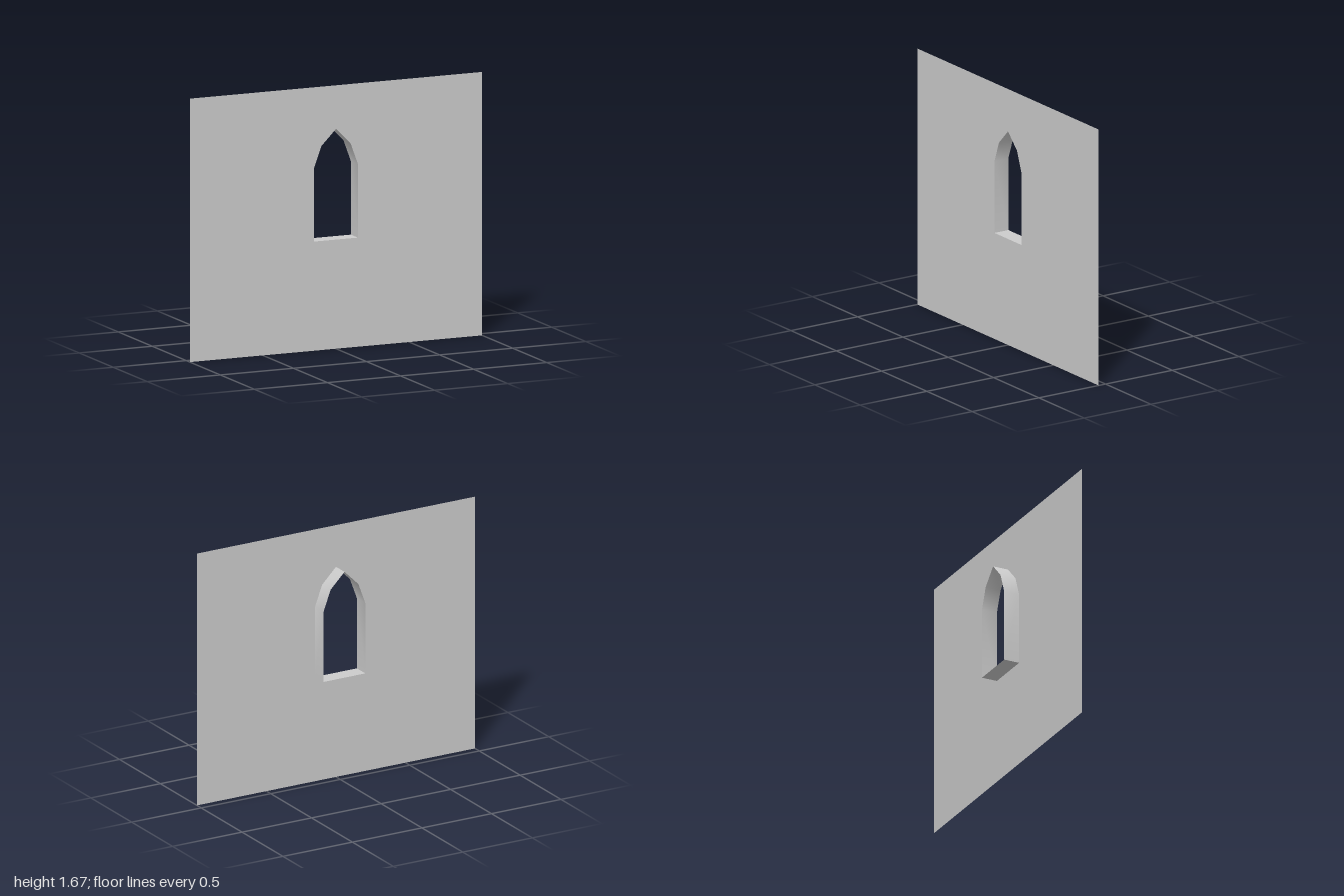
import * as THREE from 'three';
import { toCreasedNormals } from 'three/addons/utils/BufferGeometryUtils.js';

const HALF_DEPTH = 0.052;
const WALL_HEIGHT = 1.666;

// Pointed window outline, anticlockwise from the lower left corner
const outline = [
  [-0.15, 0.69], [0.15, 0.69], [0.15, 1.155], [0.1, 1.29],
  [0, 1.39], [-0.1, 1.29], [-0.15, 1.155],
].map(([x, y]) => new THREE.Vector2(x, y));

// Open band joining the outline at the front to the same outline at the back
function makeReveal() {
  const positions = [];
  const n = outline.length;
  for (let i = 0; i < n; i++) {
    const a = outline[i], b = outline[(i + 1) % n];
    const f = HALF_DEPTH, k = -HALF_DEPTH;
    // faces look into the opening
    positions.push(a.x, a.y, f, b.x, b.y, f, b.x, b.y, k);
    positions.push(a.x, a.y, f, b.x, b.y, k, a.x, a.y, k);
  }
  const geometry = new THREE.BufferGeometry();
  geometry.setAttribute('position', new THREE.Float32BufferAttribute(positions, 3));
  geometry.computeVertexNormals();
  return toCreasedNormals(geometry, THREE.MathUtils.degToRad(40));
}

export function createModel() {
  const group = new THREE.Group();
  const material = new THREE.MeshStandardMaterial({ color: 0xcccccc, side: THREE.DoubleSide });

  // Thin wall sheet with the window cut out
  const wallShape = new THREE.Shape([
    new THREE.Vector2(-1, 0), new THREE.Vector2(1, 0),
    new THREE.Vector2(1, WALL_HEIGHT), new THREE.Vector2(-1, WALL_HEIGHT),
  ]);
  wallShape.holes.push(new THREE.Path(outline));
  const wall = new THREE.Mesh(new THREE.ShapeGeometry(wallShape), material);
  wall.name = 'wall';
  wall.position.z = HALF_DEPTH;

  // Window lining running back from the wall
  const reveal = new THREE.Mesh(makeReveal(), material);
  reveal.name = 'windowReveal';

  group.add(wall, reveal);
  return group;
}
